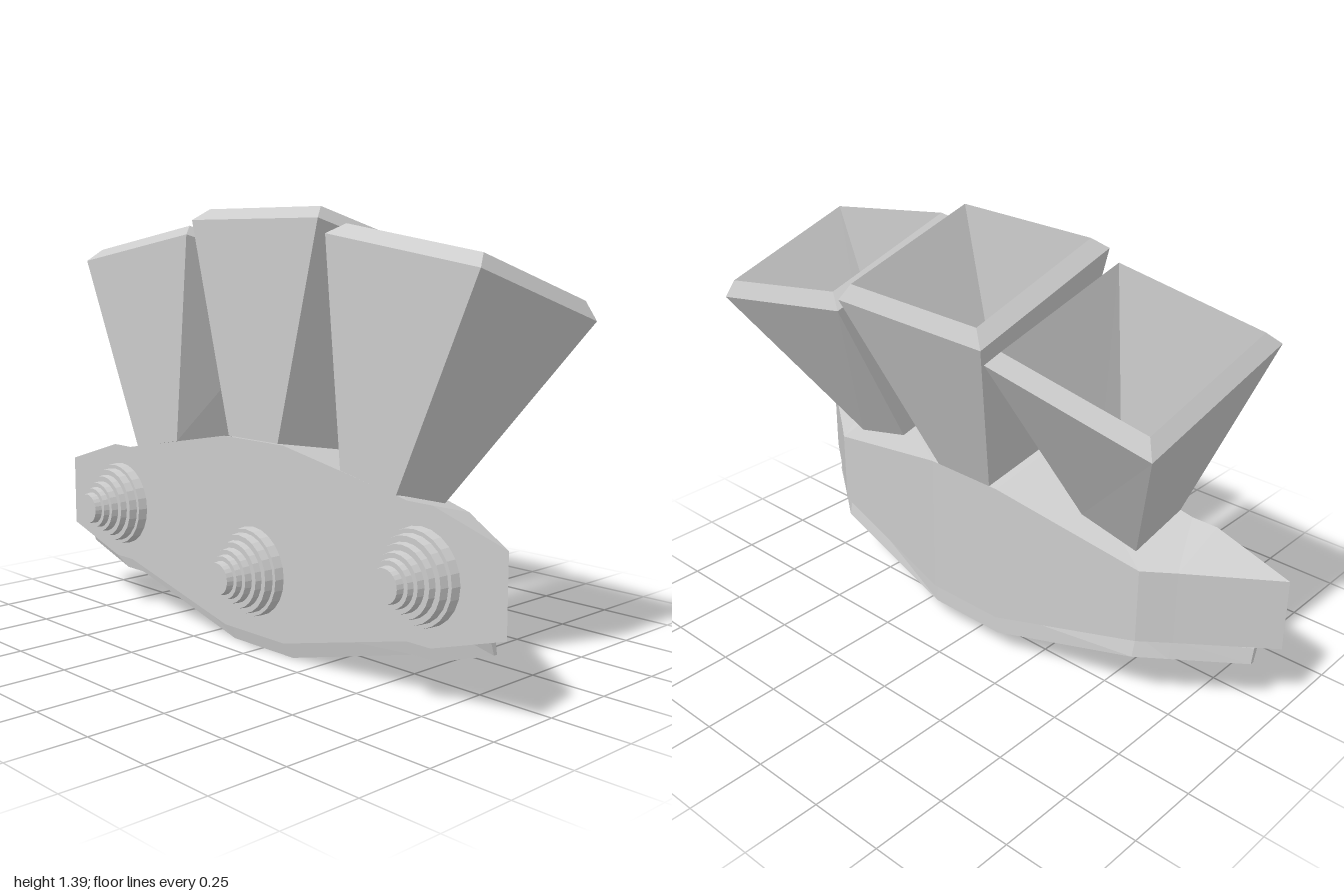
import * as THREE from 'three';

const material = new THREE.MeshStandardMaterial({ color: 0xcccccc, flatShading: true });
const FRONT = 0.205;

// Skin a list of four-cornered rings, optionally closing the first and last
function loft(name, rings, capStart, capEnd) {
  const pos = [];
  const quad = (a, b, c, d) => pos.push(...a, ...b, ...c, ...a, ...c, ...d);
  for (let i = 0; i < rings.length - 1; i++) {
    const a = rings[i], b = rings[i + 1];
    for (let j = 0; j < 4; j++) {
      const k = (j + 1) % 4;
      quad(a[j], a[k], b[k], b[j]);
    }
  }
  if (capStart) quad(...[...rings[0]].reverse());
  if (capEnd) quad(...rings[rings.length - 1]);
  const geo = new THREE.BufferGeometry();
  geo.setAttribute('position', new THREE.Float32BufferAttribute(pos, 3));
  geo.computeVertexNormals();
  const mesh = new THREE.Mesh(geo, material);
  mesh.name = name;
  return mesh;
}

// Symmetric block from half stations: x, then (y, z) of
// front bottom, back bottom, back top, front top
function block(name, half) {
  const ring = (s, sign) => [1, 3, 5, 7].map(i => [s[0] * sign, s[i], s[i + 1]]);
  const left = [...half].reverse().map(s => ring(s, -1));
  return loft(name, [...left, ...half.map(s => ring(s, 1))], true, true);
}

// Bevelled lip: pull each rim corner inward and lift it along the rim normal
function lip(rim, inset, lift) {
  const p = rim.map(c => new THREE.Vector3(...c));
  const normal = p[2].clone().sub(p[0]).cross(p[3].clone().sub(p[1])).normalize();
  return p.map((c, i) => {
    const next = p[(i + 1) % 4].clone().sub(c).normalize();
    const prev = p[(i + 3) % 4].clone().sub(c).normalize();
    return c.clone().addScaledVector(next, inset).addScaledVector(prev, inset)
      .addScaledVector(normal, lift).toArray();
  });
}

// Hollow square funnel; rings run front -x, front +x, back +x, back -x
function funnel(name, base, rim, floor) {
  return loft(name, [base, rim, lip(rim, 0.035, 0.045), floor], true, true);
}

const mirror = ring => [1, 0, 3, 2].map(i => [-ring[i][0], ring[i][1], ring[i][2]]);

// Stepped round knob facing forward
function knob(name, x, y) {
  const steps = [[0.142, 0.032], [0.127, 0.06], [0.107, 0.082], [0.087, 0.106], [0.07, 0.126], [0.053, 0.15]];
  const profile = [];
  let z = 0;
  for (const [r, top] of steps) {
    profile.push(new THREE.Vector2(r, z), new THREE.Vector2(r - 0.003, top));
    z = top;
  }
  profile.push(new THREE.Vector2(0, z));
  const mesh = new THREE.Mesh(new THREE.LatheGeometry(profile, 24), material);
  mesh.rotation.x = Math.PI / 2;
  mesh.position.set(x, y, FRONT);
  mesh.name = name;
  return mesh;
}

export function createModel() {
  const group = new THREE.Group();
  group.name = 'tripleFunnelUnit';

  // Main body, tapering to an upright edge at each end
  group.add(block('body', [
    [0.14, 0.055, FRONT, 0.14, -0.125, 0.62, -0.125, 0.675, FRONT],
    [0.65, 0.18, FRONT, 0.26, -0.06, 0.51, -0.06, 0.58, FRONT],
    [0.74, 0.18, FRONT, 0.26, 0.01, 0.508, 0.01, 0.58, FRONT],
    [1, 0.26, FRONT, 0.26, FRONT, 0.5, FRONT, 0.5, FRONT],
  ]));

  // Slightly smaller plate under the body
  group.add(block('underPlate', [
    [0.14, 0, 0.165, 0.075, -0.115, 0.16, -0.11, 0.1, 0.185],
    [0.64, 0.13, 0.165, 0.195, -0.057, 0.27, -0.04, 0.25, 0.185],
    [0.73, 0.13, 0.165, 0.195, 0.01, 0.26, 0.02, 0.25, 0.185],
    [0.93, 0.197, 0.168, 0.197, 0.155, 0.25, 0.165, 0.25, 0.185],
  ]));

  // Centre funnel
  group.add(funnel('centreFunnel',
    [[-0.115, 0.678, FRONT], [0.115, 0.678, FRONT], [0.11, 0.62, -0.125], [-0.11, 0.62, -0.125]],
    [[-0.29, 1.355, FRONT], [0.29, 1.355, FRONT], [0.29, 1.2, -0.355], [-0.29, 1.2, -0.355]],
    [[-0.075, 0.69, 0.14], [0.075, 0.69, 0.14], [0.075, 0.66, 0.02], [-0.075, 0.66, 0.02]]));

  // Side funnels, leaning outward
  const side = [
    [[0.385, 0.63, FRONT], [0.605, 0.588, FRONT], [0.6, 0.535, -0.01], [0.39, 0.58, -0.01]],
    [[0.32, 1.31, FRONT], [0.89, 1.22, FRONT], [0.87, 1.06, -0.348], [0.3, 1.16, -0.352]],
    [[0.425, 0.635, 0.14], [0.57, 0.61, 0.14], [0.565, 0.58, 0.02], [0.42, 0.605, 0.02]],
  ];
  group.add(funnel('leftFunnel', ...side));
  group.add(funnel('rightFunnel', ...side.map(mirror)));

  // Front knobs
  group.add(knob('centreKnob', 0, 0.26));
  group.add(knob('leftKnob', 0.7, 0.375));
  group.add(knob('rightKnob', -0.7, 0.375));

  return group;
}
